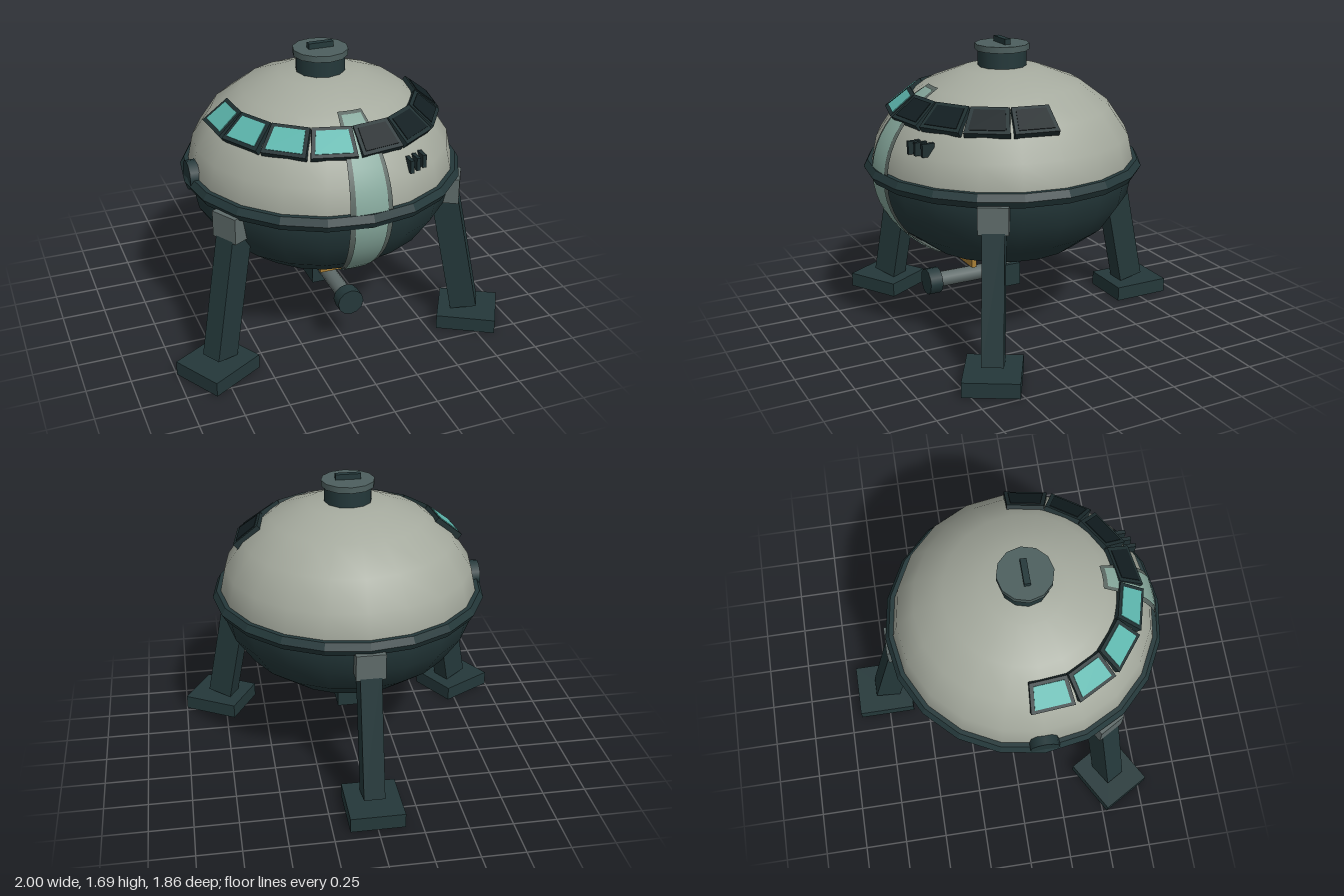
import * as THREE from 'three';

const RAD = Math.PI / 180;
const CY = 0.975, CZ = 0.13;      // hull centre
const RX = 0.76, RY = 0.575;      // hull radii

const mat = (color, extra = {}) => new THREE.MeshStandardMaterial({ color, ...extra });
const shell = mat(0xa5aa9e);
const dark = mat(0x24383a);
const darkFlat = mat(0x24383a, { flatShading: true });
const grey = mat(0x5f6b6a);
const capGrey = mat(0x4d5f5e);
const frameMat = mat(0x1f2f31);
const litGlass = mat(0x5cb5ac);
const darkGlass = mat(0x121e21);
const stripFrame = mat(0x5c6863, { side: THREE.DoubleSide });
const stripGlass = mat(0x86a89c, { side: THREE.DoubleSide });
const gold = mat(0xa97f35);

export function createModel() {
  const model = new THREE.Group();

  const add = (name, geometry, material, x = 0, y = 0, z = 0, parent = model) => {
    const mesh = new THREE.Mesh(geometry, material);
    mesh.name = name;
    mesh.position.set(x, y, z);
    parent.add(mesh);
    return mesh;
  };
  const box = (w, h, d) => new THREE.BoxGeometry(w, h, d);
  const cyl = (r, h, n = 12) => new THREE.CylinderGeometry(r, r, h, n);

  // Patch of the flattened hull sphere; angles in degrees
  const hullPatch = (scale, phi, phiLen, theta, thetaLen, wSeg, hSeg) =>
    new THREE.SphereGeometry(scale, wSeg, hSeg, phi * RAD, phiLen * RAD, theta * RAD, thetaLen * RAD)
      .scale(RX, RY, RX);

  // Hull halves and belt
  add('upperHull', hullPatch(1, 0, 360, 0, 90, 20, 5), shell, 0, CY, CZ);
  add('lowerHull', hullPatch(1, 0, 360, 90, 90, 20, 5), dark, 0, CY, CZ);
  add('beltRing', new THREE.TorusGeometry(0.755, 0.045, 6, 20).rotateX(Math.PI / 2), darkFlat, 0, CY, CZ);

  // Curved front strip with its frame
  add('frontStripFrame', hullPatch(1.008, 81, 18, 34, 113.5, 2, 20), stripFrame, 0, CY, CZ);
  add('frontStripPanel', hullPatch(1.014, 83.2, 13.6, 36, 109.5, 2, 20), stripGlass, 0, CY, CZ);

  // Top hatch
  add('hatchBase', cyl(0.138, 0.1), dark, 0, 1.575, CZ);
  add('hatchLid', cyl(0.155, 0.035), capGrey, 0, 1.643, CZ);
  add('hatchHandle', box(0.145, 0.04, 0.035), dark, 0, 1.672, CZ);

  // Band of eight tilted windows
  const trapezoid = (bottom, top, height, depth) => {
    const s = new THREE.Shape();
    s.moveTo(-bottom, -height);
    s.lineTo(bottom, -height);
    s.lineTo(top, height);
    s.lineTo(-top, height);
    s.closePath();
    return new THREE.ExtrudeGeometry(s, { depth, bevelEnabled: false });
  };
  const frameGeo = trapezoid(0.123, 0.104, 0.089, 0.04);
  const paneGeo = trapezoid(0.1, 0.084, 0.068, 0.04);
  for (let i = 0; i < 8; i++) {
    const a = (-2.5 + (i - 3.5) * 23.6) * RAD;
    const win = new THREE.Group();
    win.name = 'window';
    win.rotation.order = 'YXZ';
    win.rotation.set(-51.6 * RAD, a, 0);
    win.position.set(0.58 * Math.sin(a), 1.35, CZ + 0.58 * Math.cos(a));
    add('windowFrame', frameGeo, frameMat, 0, 0, -0.03, win);
    add('windowPane', paneGeo, i < 4 ? litGlass : darkGlass, 0, 0, -0.026, win);
    model.add(win);
  }

  // Three vent slots
  for (const x of [0.255, 0.3, 0.345]) {
    const z = CZ + Math.sqrt(0.7 * 0.7 - x * x);
    add('ventSlot', box(0.022, 0.072, 0.07), frameMat, x, 1.198, z);
  }

  // Side port
  add('sidePort', cyl(0.083, 0.08).rotateZ(Math.PI / 2), dark, -0.745, 1.015, CZ);

  // Three legs, each built pointing outward along +z
  const bottom = new THREE.Vector2(0.872, 0.1), top = new THREE.Vector2(0.715, 0.87);
  const lean = Math.atan2(bottom.x - top.x, top.y - bottom.y);
  for (const deg of [60, 180, 300]) {
    const leg = new THREE.Group();
    leg.name = 'leg';
    leg.position.z = CZ;
    leg.rotation.y = deg * RAD;
    add('hip', box(0.165, 0.15, 0.17), grey, 0, 0.875, 0.72, leg);
    const strut = add('strut', box(0.12, bottom.distanceTo(top), 0.152), dark,
      0, (bottom.y + top.y) / 2, (bottom.x + top.x) / 2, leg);
    strut.rotation.x = -lean;
    add('foot', box(0.31, 0.085, 0.34), dark, 0, 0.0425, 0.893, leg);
    model.add(leg);
  }

  // Belly turret
  add('turretNeck', cyl(0.055, 0.12), grey, 0, 0.385, CZ);
  add('turretBody', box(0.15, 0.135, 0.16), dark, 0, 0.278, 0.135);
  add('turretBarrel', cyl(0.045, 0.4).rotateX(Math.PI / 2), grey, 0, 0.305, 0.38);
  add('turretMuzzle', cyl(0.076, 0.075).rotateX(Math.PI / 2), dark, 0, 0.305, 0.59);
  add('bellyBar', box(0.175, 0.05, 0.03), gold, 0, 0.4, 0.36);

  return model;
}
